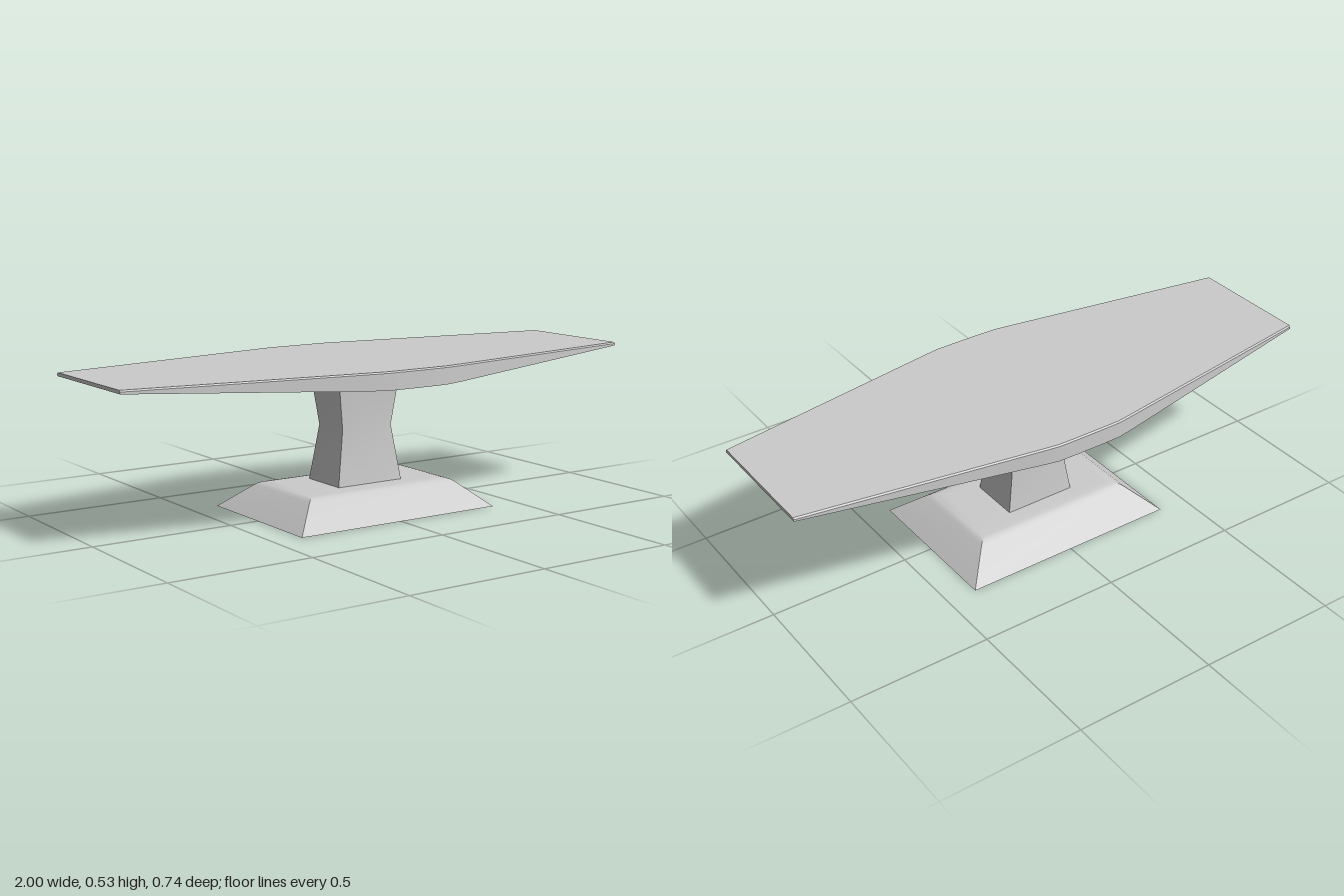
import * as THREE from 'three';
import { toCreasedNormals } from 'three/addons/utils/BufferGeometryUtils.js';

// Skin a row of closed rings (counter-clockwise seen from the last ring) and cap both ends
function loft(name, rings, crease) {
  const n = rings[0].length, last = (rings.length - 1) * n, index = [];
  for (let i = 0; i < rings.length - 1; i++) {
    for (let j = 0; j < n; j++) {
      const a = i * n + j, b = i * n + (j + 1) % n;
      index.push(a, b, b + n, a, b + n, a + n);
    }
  }
  for (let j = 1; j < n - 1; j++) {
    index.push(0, j + 1, j, last, last + j, last + j + 1);
  }
  const geometry = new THREE.BufferGeometry();
  geometry.setAttribute('position', new THREE.Float32BufferAttribute(rings.flat(2), 3));
  geometry.setIndex(index);
  const mesh = new THREE.Mesh(
    toCreasedNormals(geometry, crease),
    new THREE.MeshStandardMaterial({ color: 0xcccccc })
  );
  mesh.name = name;
  return mesh;
}

export function createModel() {
  const model = new THREE.Group();
  model.name = 'table';

  // Foot: sloped rectangular block with a softly rounded upper edge [y, half width, half depth]
  const foot = [
    [0, 0.395, 0.275], [0.083, 0.302, 0.176], [0.09, 0.292, 0.166],
    [0.095, 0.28, 0.154], [0.0975, 0.265, 0.14], [0.098, 0.25, 0.125],
  ].map(([y, x, z]) => [[x, y, z], [x, y, -z], [-x, y, -z], [-x, y, z]]);
  model.add(loft('foot', foot, 0.5));

  // Pedestal: waisted column, front and back bulging slightly [y, half width, corner depth, centre depth]
  const pedestal = [
    [0.09, 0.131, 0.093, 0.093], [0.29, 0.1, 0.072, 0.08], [0.47, 0.125, 0.088, 0.088],
  ].map(([y, x, z, c]) => [
    [x, y, z], [x, y, -z], [0, y, -c], [-x, y, -z], [-x, y, z], [0, y, c],
  ]);
  model.add(loft('pedestal', pedestal, 0.4));

  // Table top: boat-shaped slab, thin at the ends [x, half depth, underside y]
  const half = [[0.05, 0.368, 0.465], [0.12, 0.367, 0.4655], [0.18, 0.358, 0.468], [1, 0.225, 0.515]];
  const stations = [...half.map(([x, z, y]) => [-x, z, y]).reverse(), ...half];
  const top = 0.527, bevel = 0.005;
  const slab = stations.map(([x, z, y]) => [
    [x, y, -z], [x, top - bevel, -z], [x, top, bevel - z],
    [x, top, z - bevel], [x, top - bevel, z], [x, y, z],
  ]);
  model.add(loft('tableTop', slab, 0.5));

  return model;
}
